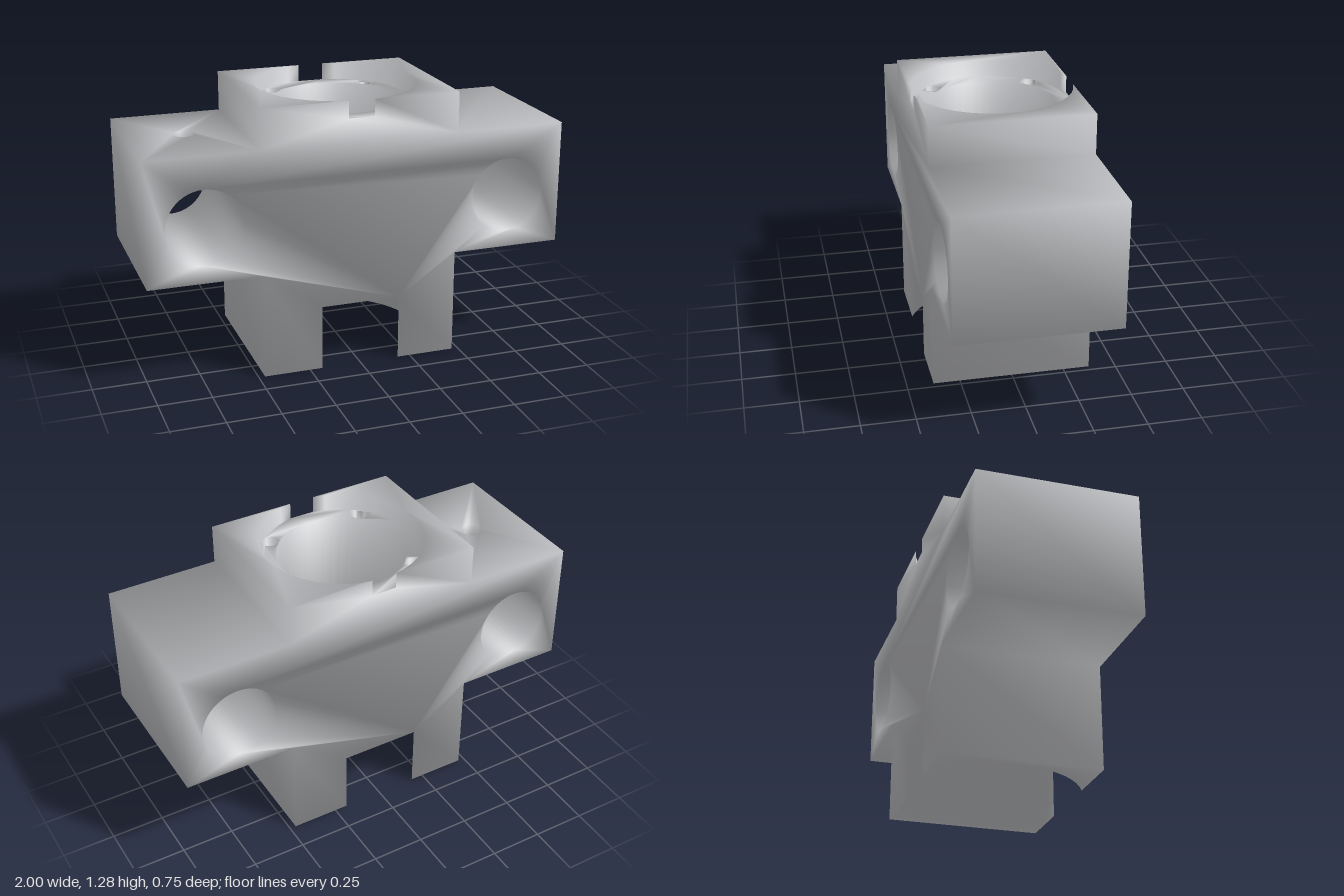
import * as THREE from 'three';

const W = 0.47, D = 0.375;                  // centre block half width, half depth
const FLOOR = 0.5, SHELF = 1.09, RIM = 1.28; // arm underside, arm top, block top
const LEG = 0.31, LEDGE = 1.2;              // lower and upper counterbore levels
const R_LEG = 0.42, R_RIM = 0.38, R_BORE = 0.298;
const HX = 0.73, HY = 0.76, HR = 0.179;     // cross holes in the arms

const metal = new THREE.MeshStandardMaterial({ color: 0xbabbbe });
metal.name = 'bare metal';

// Points on an arc, angles in degrees
function arc(cx, cy, r, from, to, n = Math.round(Math.abs(to - from) / 7.5)) {
  return Array.from({ length: n + 1 }, (_, i) => {
    const a = THREE.MathUtils.degToRad(from + (to - from) * i / n);
    return [cx + r * Math.cos(a), cy + r * Math.sin(a)];
  });
}
const circle = (cx, cy, r, n) => arc(cx, cy, r, 0, 360, n);
const open = ring => ring.slice(0, -1);
const flip = points => points.map(([x, y]) => [-x, -y]);
const rect = (x0, x1) => [[x0, -D], [x1, -D], [x1, D], [x0, D]];

// Ways of placing flat outlines in space
const up = y => ([u, v]) => [u, y, -v];
const down = y => ([u, v]) => [u, y, v];
const front = ([u, v]) => [u, v, D];
const back = ([u, v]) => [-u, v, -D];

// Triangles of a flat outline with holes
function face(place, outline, holes = []) {
  const v2 = ring => ring.map(p => new THREE.Vector2(...p));
  const all = [outline, ...holes].flat();
  return THREE.ShapeUtils.triangulateShape(v2(outline), holes.map(v2)).flat().map(i => place(all[i]));
}

function fan(place, apex, points) {
  return points.slice(1).flatMap((p, i) => [apex, points[i], p].map(place));
}

// Ribbon of quads between two rows of points
function strip(a, b) {
  return a.slice(1).flatMap((p, i) => [a[i], p, b[i + 1], a[i], b[i + 1], b[i]]);
}

// Inward-facing upright wall, and outward-facing wall along a front profile
const bore = (path, y0, y1) => strip(path.map(up(y1)), path.map(up(y0)));
const sides = path => strip(path.map(([x, y]) => [x, y, -D]), path.map(front));

// Where a counterbore of radius r meets the front plane
const gap = r => Math.sqrt(r * r - D * D);
function clipArc(r) {
  const a = THREE.MathUtils.radToDeg(Math.asin(D / r));
  return arc(0, 0, r, -a, a, 18);
}

// One long panel of the block, with its outline, cross holes and cut-outs
function panel(place) {
  const left = (a, b) => arc(-HX, HY, HR, a, b);
  const right = (a, b) => arc(HX, HY, HR, a, b);
  const g = gap(R_RIM), k = gap(R_LEG);
  const crotch = [k, LEG], armpit = [W, FLOOR];
  const top = right(90, 82.5)[0];
  const shoulder = left(52.5, 60)[0];
  const upper = [left(90, 82.5)[0], top, [1, SHELF], [W, SHELF], [W, RIM], [g, RIM], [g, LEDGE],
    [-g, LEDGE], [-g, RIM], [-W, RIM], [-W, SHELF], [-1, SHELF]];
  return [
    face(place, upper),
    fan(place, top, left(90, 52.5)),
    fan(place, shoulder, right(142.5, 90)),
    fan(place, crotch, [right(142.5, 150)[0], shoulder]),
    fan(place, crotch, left(52.5, -90)),
    fan(place, crotch, [armpit, ...right(232.5, 142.5)]),
    face(place, [left(270, 262.5)[0], [-W, FLOOR], [-W, 0], [-k, 0], [-k, LEG], crotch]),
    face(place, [[-1, SHELF], [-1, FLOOR], [-W, FLOOR], ...left(270, 90)]),
    face(place, [crotch, [k, 0], [W, 0], armpit]),
    face(place, [armpit, [1, FLOOR], [1, SHELF], ...right(90, -127.5)]),
  ].flat();
}

// Angle-weighted normals shared by every part, so shading rolls over the edges
function shareNormals(parts) {
  const key = p => p.map(v => Math.round(v * 1e4)).join();
  const sums = new Map();
  for (const points of Object.values(parts)) {
    for (let i = 0; i < points.length; i += 3) {
      const t = points.slice(i, i + 3).map(p => new THREE.Vector3(...p));
      const n = t[1].clone().sub(t[0]).cross(t[2].clone().sub(t[0])).normalize();
      for (let j = 0; j < 3; j++) {
        const e = t[(j + 1) % 3].clone().sub(t[j]);
        const f = t[(j + 2) % 3].clone().sub(t[j]);
        const id = key(points[i + j]);
        if (!sums.has(id)) sums.set(id, new THREE.Vector3());
        sums.get(id).addScaledVector(n, e.angleTo(f));
      }
    }
  }
  return p => sums.get(key(p)).clone().normalize().toArray();
}

export function createModel() {
  const parts = {};

  // Long panels, the back one being the front one turned round
  parts.frontPanel = panel(front);
  parts.backPanel = panel(back);

  // End walls, arm undersides and the plain left arm top
  parts.leftSides = sides([[W, 0], [W, FLOOR], [1, FLOOR], [1, SHELF], [W, SHELF], [W, RIM]]);
  parts.rightSides = [
    sides([[-W, RIM], [-W, SHELF]]),
    sides([[-1, SHELF], [-1, FLOOR], [-W, FLOOR], [-W, 0]]),
  ].flat();

  // Rim, legs and their counterbore walls
  for (const [name, turn] of [['left', p => p], ['right', flip]]) {
    const rimArc = clipArc(R_RIM), legArc = clipArc(R_LEG);
    const land = path => turn([[W, -D], [W, D], ...path.slice().reverse()]);
    parts[name + 'Rim'] = [...face(up(RIM), land(rimArc)), ...bore(turn(rimArc), LEDGE, RIM)];
    parts[name + 'Leg'] = [...face(down(0), land(legArc)), ...bore(turn(legArc), 0, LEG)];
  }

  // Main bore with the ledges above and below it
  const boreRing = circle(0, 0, R_BORE, 48);
  const disc = r => [...clipArc(r), ...flip(clipArc(r))];
  const screws = [[1, 1], [-1, 1], [-1, -1], [1, -1]].map(([x, z]) => circle(x * 0.242, z * 0.242, 0.04, 16));
  parts.mainBore = bore(boreRing, LEG, LEDGE);
  parts.screwLedge = face(up(LEDGE), disc(R_RIM), [boreRing, ...screws].map(open));
  parts.lowerLedge = face(down(LEG), disc(R_LEG), [open(boreRing)]);
  parts.screwHoles = screws.flatMap(s => [...bore(s, LEDGE - 0.1, LEDGE), ...face(up(LEDGE - 0.1), open(s))]);

  // Cross holes; the right one leaves a bent patch at its crown for the pin hole
  const crossWall = path => strip(path.map(front), path.map(([x, y]) => [x, y, -D]));
  parts.leftCrossHole = crossWall(arc(HX, HY, HR, 0, 360));
  parts.rightCrossHole = crossWall(arc(-HX, HY, HR, 112.5, 427.5));

  const pin = circle(-HX, 0, 0.05, 20);
  const pinTop = pin.map(up(SHELF));
  const pinEnd = pinTop.map(([x, , z]) => [x, HY + Math.sqrt(HR * HR - (x + HX) ** 2), z]);
  const crown = arc(0, 0, HR, 112.5, 67.5).map(([x]) => Math.asin(x / HR));
  const bend = ([u, v]) => [-HX + HR * Math.sin(u), HY + HR * Math.cos(u), v];
  const patch = [...crown.map(u => [u, -D]), ...crown.slice().reverse().map(u => [u, D])];
  const patchHole = open(pinEnd).map(([x, , z]) => [Math.asin((x + HX) / HR), z]);
  parts.crossHoleCrown = face(bend, patch, [patchHole]);
  parts.pinHole = strip(pinTop, pinEnd);
  parts.rightArmTop = face(up(SHELF), rect(-1, -W), [open(pin)]);

  // One mesh per part
  const model = new THREE.Group();
  model.name = 'clampBlock';
  const normalAt = shareNormals(parts);
  for (const [name, points] of Object.entries(parts)) {
    const geometry = new THREE.BufferGeometry();
    geometry.setAttribute('position', new THREE.Float32BufferAttribute(points.flat(), 3));
    geometry.setAttribute('normal', new THREE.Float32BufferAttribute(points.flatMap(normalAt), 3));
    const mesh = new THREE.Mesh(geometry, metal);
    mesh.name = name;
    model.add(mesh);
  }
  return model;
}
